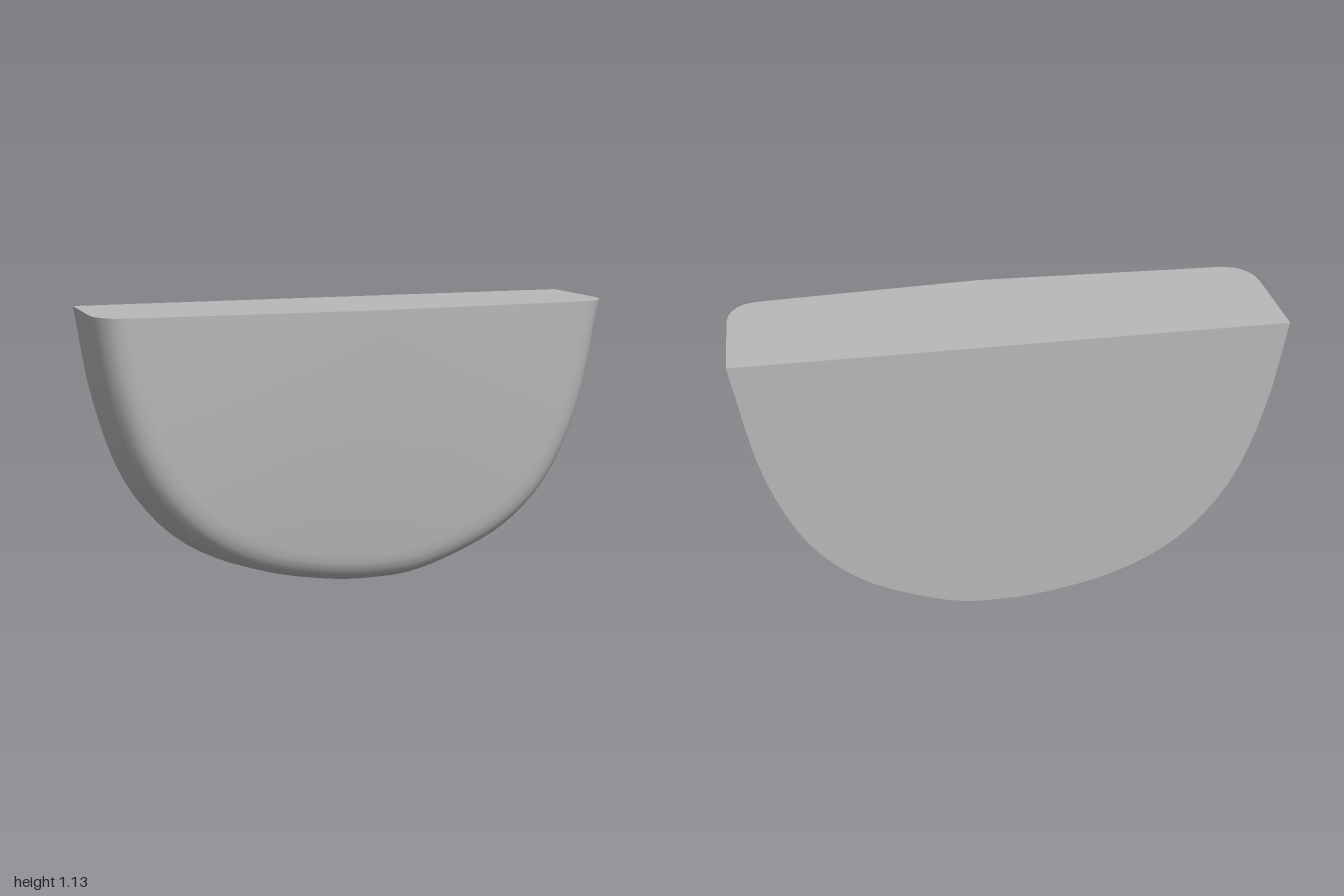
import * as THREE from 'three';
import { toCreasedNormals } from 'three/addons/utils/BufferGeometryUtils.js';

const TOP = 1.13, BACK = -0.26;

export function createModel() {
  const group = new THREE.Group();
  const grey = new THREE.MeshStandardMaterial({ color: 0xb8b8b8 });
  grey.name = 'plain grey';

  // Half-round outline of the back, from the left end down and round to the right end
  const outline = new THREE.CatmullRomCurve3([
    [-1, TOP], [-0.94, 0.77], [-0.83, 0.45], [-0.65, 0.22], [-0.41, 0.08], [-0.1, 0.008],
    [0.05, 0], [0.2, 0.008], [0.4, 0.07], [0.6, 0.175], [0.77, 0.35], [0.91, 0.66], [1, TOP],
  ].map(([x, y]) => new THREE.Vector3(x, y, 0))).getPoints(48);
  const n = outline.length;

  // Cross-sections from back to front: z, width scale, depth scale
  const sections = [
    [BACK, 1, 1], [0.08, 0.996, 0.933], [0.125, 0.99, 0.924], [0.16, 0.975, 0.91],
    [0.185, 0.957, 0.894], [0.203, 0.935, 0.875], [0.213, 0.905, 0.85], [0.219, 0.87, 0.82],
  ];
  const positions = [], index = [];
  for (const [z, sx, sy] of sections)
    for (const p of outline) positions.push(p.x * sx, TOP - (TOP - p.y) * sy, z);

  const last = sections.length - 1;
  const id = (k, i) => k * n + i;
  const peak = sections.length * n, centre = peak + 1;
  positions.push(0.05, TOP, 0.26, 0, TOP, BACK);

  // Curved wall and rounded front edge
  for (let k = 0; k < last; k++) {
    for (let i = 0; i < n - 1; i++) {
      const a = id(k, i), b = id(k, i + 1), c = id(k + 1, i), d = id(k + 1, i + 1);
      index.push(a, b, c, b, d, c);
    }
    // Flat top, both ends
    index.push(centre, id(k, 0), id(k + 1, 0), centre, id(k + 1, n - 1), id(k, n - 1));
  }
  index.push(centre, id(last, 0), peak, centre, peak, id(last, n - 1));

  // Shallow front face rising to the peak, and flat back
  for (let i = 0; i < n - 1; i++) {
    index.push(id(last, i), id(last, i + 1), peak);
    if (i > 0 && i < n - 2) index.push(id(0, i + 1), id(0, i), centre);
  }
  index.push(id(0, 1), id(0, 0), centre, id(0, n - 1), id(0, n - 2), centre);

  const geometry = new THREE.BufferGeometry();
  geometry.setAttribute('position', new THREE.Float32BufferAttribute(positions, 3));
  geometry.setIndex(index);
  const body = new THREE.Mesh(toCreasedNormals(geometry, 0.7), grey);
  body.name = 'halfRoundBody';
  group.add(body);
  return group;
}
